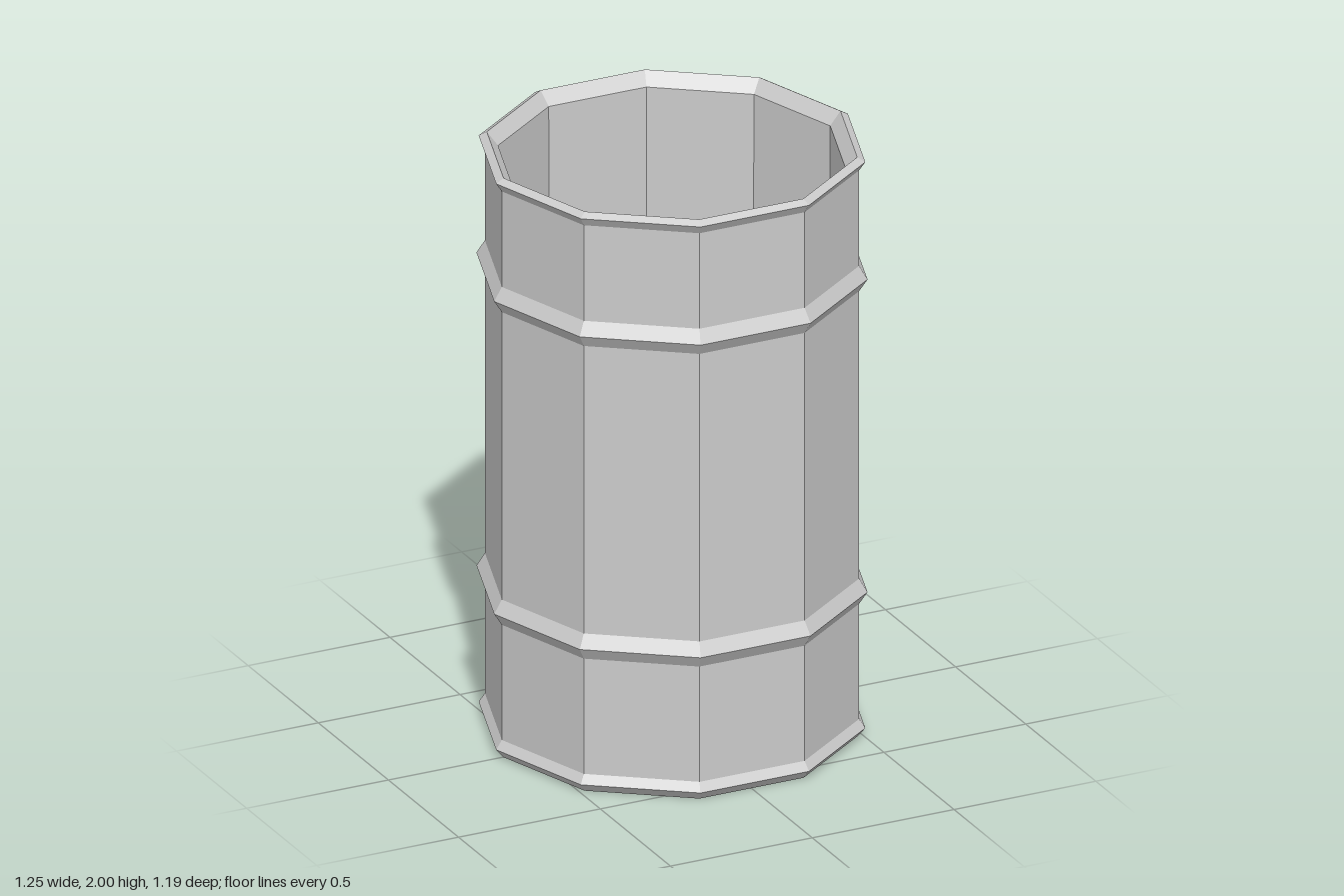
import * as THREE from 'three';

const SIDES = 10;
const material = new THREE.MeshStandardMaterial({ color: 0xcccccc, flatShading: true });

// Revolve a [radius, height] profile into a ten-sided ring with corners on the x axis
function ring(name, profile) {
  const points = profile.map(([r, y]) => new THREE.Vector2(r, y));
  const geometry = new THREE.LatheGeometry(points, SIDES, Math.PI / SIDES);
  const mesh = new THREE.Mesh(geometry, material);
  mesh.name = name;
  return mesh;
}

export function createModel() {
  const barrel = new THREE.Group();
  barrel.name = 'barrel';

  const wall = 0.6;
  const ribs = [0.5, 1.58];

  // Flat underside with its flared bottom edge
  barrel.add(ring('base', [[0, 0], [0.595, 0], [0.62, 0.03], [wall, 0.06]]));

  // Straight wall sections between the ribs
  const stops = [0.06, ...ribs.flatMap((y) => [y - 0.042, y + 0.045]), 1.955];
  for (let i = 0; i < stops.length; i += 2) {
    barrel.add(ring('wallSection', [[wall, stops[i]], [wall, stops[i + 1]]]));
  }

  // Raised hoops pressed into the wall
  for (const y of ribs) {
    barrel.add(ring('rib', [[wall, y - 0.042], [0.627, y], [wall, y + 0.045]]));
  }

  // Flared lip around the open top
  barrel.add(ring('rim', [[wall, 1.955], [0.62, 1.985], [0.594, 2], [0.558, 1.955]]));

  // Slightly tapered inner wall and floor
  barrel.add(ring('interior', [[0.558, 1.955], [0.543, 0.04], [0, 0.04]]));

  return barrel;
}
